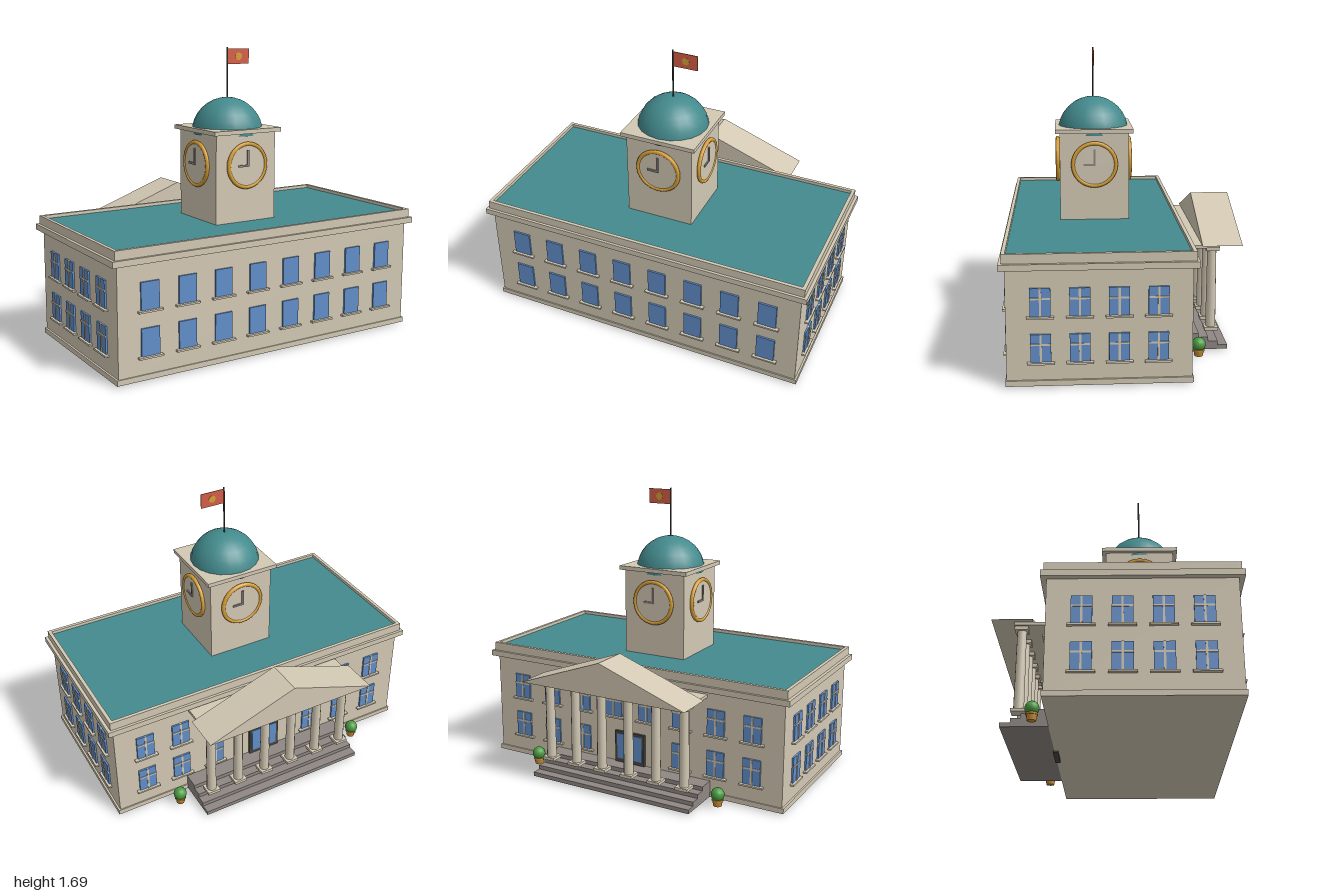
import * as THREE from 'three';

const mat = (name, color) => Object.assign(new THREE.MeshStandardMaterial({ color }), { name });
const M = {
  stone: mat('cream stone', 0xd3c9b4),
  teal: mat('teal copper', 0x438a8d),
  glass: mat('blue glass', 0x628fcb),
  gold: mat('gold', 0xd9a036),
  grey: mat('grey stone', 0x8f8783),
  dark: mat('dark metal', 0x4a4642),
  red: mat('flag red', 0xd65f48),
  green: mat('leaf green', 0x4a9a42),
  pot: mat('clay', 0xc48a36),
};
const CZ = 0.153; // depth centre of the main block
const HX = 0.965, HZ = 0.483; // half sizes of the main block

function add(parent, name, geo, material, x = 0, y = 0, z = 0) {
  const m = new THREE.Mesh(geo, material);
  m.name = name;
  m.position.set(x, y, z);
  parent.add(m);
  return m;
}
// Box given by its centre in x and z, and its bottom and top in y
function slab(parent, name, material, w, y0, y1, d, x = 0, z = 0) {
  return add(parent, name, new THREE.BoxGeometry(w, y1 - y0, d), material, x, (y0 + y1) / 2, z);
}
function group(parent, name, x = 0, y = 0, z = 0) {
  const g = new THREE.Group();
  g.name = name;
  g.position.set(x, y, z);
  parent.add(g);
  return g;
}

// Window facing +z, origin at the bottom middle of the glass on the wall
function addWindow(parent, x, y, z, bars) {
  const g = group(parent, 'window', x, y, z);
  slab(g, 'windowGlass', M.glass, 0.107, 0, 0.15, 0.02);
  slab(g, 'windowSill', M.stone, 0.142, -0.012, -0.002, 0.044);
  if (bars) {
    slab(g, 'windowMullion', M.stone, 0.011, 0, 0.15, 0.028);
    slab(g, 'windowTransom', M.stone, 0.107, 0.09, 0.1, 0.028);
  }
}

// Two rows of windows on one wall
function addWall(parent, name, angle, dist, count, step, bars, skip = () => false) {
  const g = group(parent, name, 0, 0, CZ);
  g.rotation.y = angle;
  for (const y of [0.141, 0.388])
    for (let i = 0; i < count; i++) {
      const x = (i - (count - 1) / 2) * step;
      if (!skip(x, y)) addWindow(g, x, y, dist, bars);
    }
}

function addBuilding(root) {
  const b = group(root, 'mainBuilding');
  slab(b, 'walls', M.stone, HX * 2, 0.01, 0.65, HZ * 2, 0, CZ);
  slab(b, 'plinth', M.stone, 1.952, 0.01, 0.04, 0.98, 0, CZ);
  slab(b, 'cornice', M.stone, 2, 0.638, 0.672, 1.026, 0, CZ);
  slab(b, 'roof', M.teal, 1.94, 0.66, 0.703, 0.98, 0, CZ);
  for (const s of [-1, 1]) {
    slab(b, 'parapetLong', M.stone, 1.964, 0.67, 0.722, 0.02, 0, CZ + s * 0.488);
    slab(b, 'parapetShort', M.stone, 0.02, 0.67, 0.722, 0.956, s * 0.972, CZ);
  }
  addWall(b, 'frontWindows', 0, HZ, 8, 0.223, false);
  addWall(b, 'backWindows', Math.PI, HZ, 8, 0.223, true, (x, y) => Math.abs(x) < 0.2 && y < 0.2);
  addWall(b, 'leftWindows', Math.PI / 2, HX, 4, 0.203, true);
  addWall(b, 'rightWindows', -Math.PI / 2, HX, 4, 0.203, true);
  // Double door under the portico
  slab(b, 'door', M.dark, 0.2, 0, 0.3, 0.03, 0, -0.33);
  for (const s of [-1, 1]) slab(b, 'doorGlass', M.glass, 0.075, 0.13, 0.285, 0.008, s * 0.046, -0.345);
}

function addTower(root) {
  const t = group(root, 'clockTower', 0, 0, 0.15);
  slab(t, 'towerShaft', M.stone, 0.4, 0.66, 1.22, 0.4);
  slab(t, 'towerCap', M.stone, 0.45, 1.212, 1.236, 0.45);
  add(t, 'dome', new THREE.SphereGeometry(0.208, 20, 8, 0, Math.PI * 2, 0, Math.PI / 2), M.teal, 0, 1.196, 0);
  // A clock on each side
  for (let i = 0; i < 4; i++) {
    const c = group(t, 'clock', 0, 1.03, 0);
    c.rotation.y = i * Math.PI / 2;
    add(c, 'clockFace', new THREE.CylinderGeometry(0.122, 0.122, 0.03, 32), M.stone, 0, 0, 0.203).rotation.x = Math.PI / 2;
    add(c, 'clockRing', new THREE.TorusGeometry(0.124, 0.012, 8, 32), M.gold, 0, 0, 0.212);
    add(c, 'minuteHand', new THREE.BoxGeometry(0.012, 0.09, 0.008), M.grey, 0, 0.045, 0.221);
    add(c, 'hourHand', new THREE.BoxGeometry(0.07, 0.012, 0.008), M.grey, -0.029, 0, 0.221);
  }
  // Flag on its pole
  add(t, 'flagPole', new THREE.CylinderGeometry(0.005, 0.005, 0.3, 8), M.dark, 0, 1.54, 0);
  add(t, 'flag', new THREE.BoxGeometry(0.145, 0.088, 0.005), M.red, 0.075, 1.637, 0);
  add(t, 'flagDisc', new THREE.CylinderGeometry(0.022, 0.022, 0.008, 16), M.gold, 0.077, 1.637, 0).rotation.x = Math.PI / 2;
}

function addPortico(root) {
  const p = group(root, 'portico');
  // Steps, longest at the bottom
  for (let i = 0; i < 4; i++) {
    const depth = 0.262 - i * 0.055;
    slab(p, 'step', M.grey, 1.05, 0.01 + i * 0.024, 0.034 + i * 0.024, depth, 0, -0.33 - depth / 2);
  }
  // Six columns
  for (let i = 0; i < 6; i++) {
    const c = group(p, 'column', (i - 2.5) * 0.18, 0, -0.504);
    slab(c, 'columnBase', M.stone, 0.078, 0.108, 0.126, 0.078);
    add(c, 'columnShaft', new THREE.CylinderGeometry(0.026, 0.029, 0.456, 12), M.stone, 0, 0.352, 0);
    slab(c, 'columnCapital', M.stone, 0.074, 0.579, 0.602, 0.074);
  }
  slab(p, 'entablature', M.stone, 1.0, 0.6, 0.618, 0.213, 0, -0.4365);
  const tri = new THREE.Shape([
    new THREE.Vector2(-0.533, 0), new THREE.Vector2(0.533, 0), new THREE.Vector2(0, 0.192),
  ]);
  const gable = new THREE.ExtrudeGeometry(tri, { depth: 0.225, bevelEnabled: false });
  add(p, 'pediment', gable, M.stone, 0, 0.62, -0.665);
}

function addPlanters(root) {
  for (const s of [-1, 1]) {
    const g = group(root, 'planter', s * 0.615, 0, -0.415);
    add(g, 'pot', new THREE.CylinderGeometry(0.03, 0.024, 0.036, 12), M.pot, 0, 0.028, 0);
    add(g, 'potRim', new THREE.CylinderGeometry(0.033, 0.033, 0.01, 12), M.pot, 0, 0.046, 0);
    add(g, 'bush', new THREE.SphereGeometry(0.039, 14, 10), M.green, 0, 0.078, 0);
  }
}

export function createModel() {
  const root = new THREE.Group();
  root.name = 'townHall';
  addBuilding(root);
  addTower(root);
  addPortico(root);
  addPlanters(root);
  return root;
}
